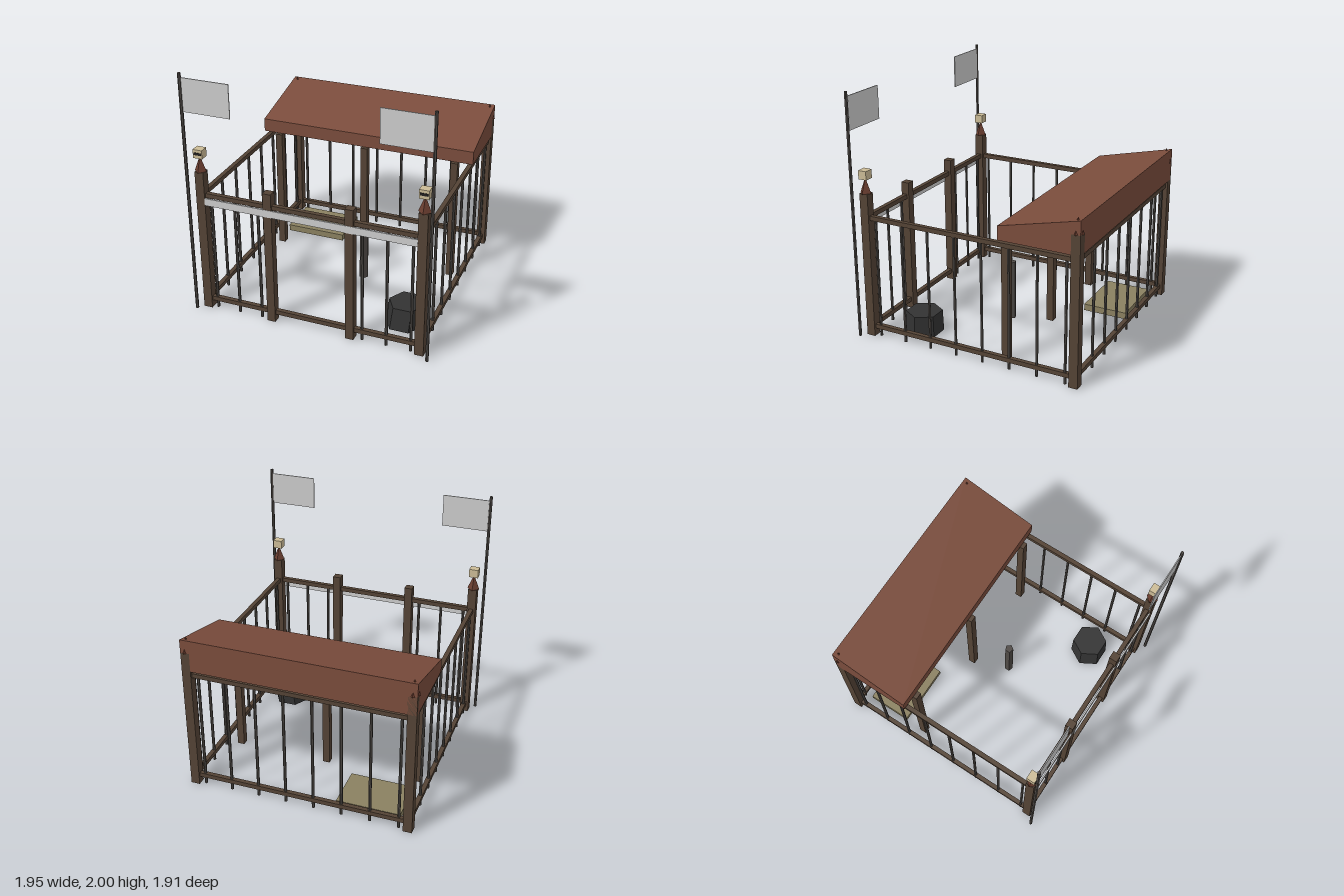
import * as THREE from 'three';

const mat = (color, extra = {}) => new THREE.MeshStandardMaterial({ color, flatShading: true, ...extra });
const M = {
  wood: mat(0x544335),
  iron: mat(0x4f4a46),
  roof: mat(0x7a4c3c),
  cap: mat(0x6b3e30),
  bone: mat(0xcbbb96),
  dark: mat(0x222020),
  pot: mat(0x333333),
  bed: mat(0x8a8060),
  cloth: mat(0xcccccc, { side: THREE.DoubleSide }),
};

export function createModel() {
  const root = new THREE.Group();
  const X = 0.884, ZF = 0.867, ZB = -0.906; // fence lines

  const add = (name, geo, m, x, y, z) => {
    const mesh = new THREE.Mesh(geo, m);
    mesh.name = name;
    mesh.position.set(x, y, z);
    root.add(mesh);
    return mesh;
  };
  const box = (name, m, w, h, d, x, y, z) => add(name, new THREE.BoxGeometry(w, h, d), m, x, y, z);
  // upright pieces standing on the ground
  const post = (name, w, h, x, z) => box(name, M.wood, w, h, w, x, h / 2, z);
  const rod = (name, r, h, sides, x, z) =>
    add(name, new THREE.CylinderGeometry(r, r, h, sides), M.iron, x, h / 2, z);

  for (const s of [-1, 1]) {
    // corner posts with pointed caps
    for (const z of [ZF, ZB]) {
      post('cornerPost', 0.072, 1.2, s * X, z);
      add('postCap', new THREE.ConeGeometry(0.05, 0.125, 4), M.cap, s * X, 1.262, z);
    }
    // carved heads on the front posts
    box('headBlock', M.bone, 0.076, 0.07, 0.07, s * X, 1.35, ZF);
    box('eyeSlot', M.dark, 0.06, 0.02, 0.01, s * X, 1.352, ZF + 0.034);

    // gate posts
    post('gatePost', 0.067, 1.12, s * 0.327, ZF);

    // flags
    rod('flagPole', 0.013, 2, 6, s * 0.962, 0.942);
    box('flag', M.cloth, 0.38, 0.266, 0.008, s * 0.76, 1.832, 0.939);

    // side bars
    for (let i = 0; i < 8; i++) rod('sideBar', 0.012, 1, 6, s * X, 0.79 - i * 0.231);
    // front bars on either side of the gate
    for (let i = 0; i < 3; i++) rod('frontBar', 0.012, 1, 6, s * (0.42 + i * 0.195), ZF);
  }
  for (let i = 0; i < 8; i++) rod('backBar', 0.012, 1, 6, (i - 3.5) * 0.23, ZB);

  // top and bottom rails all round
  for (const y of [0.08, 1.003]) {
    for (const z of [ZF, ZB]) box('crossRail', M.wood, 2 * X, 0.036, 0.036, 0, y, z);
    for (const x of [-X, X]) box('sideRail', M.wood, 0.036, 0.036, ZF - ZB, x, y, (ZF + ZB) / 2);
  }

  // pale strip below the front top rail
  box('frontBanner', M.cloth, 1.7, 0.06, 0.012, 0, 0.957, 0.898);

  // inner posts carrying the roof
  for (const x of [-0.773, 0, 0.773]) post('roofPost', 0.058, 1.045, x, -0.287);

  // lean-to roof: wedge profile (z, y) swept along x
  const wedge = new THREE.Shape([[0.29, 1.045], [0.942, 1.045], [0.942, 1.31], [0.29, 1.155]]
    .map(([a, b]) => new THREE.Vector2(a, b)));
  const roofGeo = new THREE.ExtrudeGeometry(wedge, { depth: 1.84, bevelEnabled: false });
  roofGeo.translate(0, 0, -0.92).rotateY(Math.PI / 2);
  // shape x now runs along -z
  add('roof', roofGeo, M.roof, 0, 0, 0);

  // stake in the yard
  rod('stake', 0.036, 0.5, 5, 0.112, 0.019).rotation.y = Math.PI / 2;

  // leaning six-sided pot, its foot shifted from its mouth
  const potGeo = new THREE.CylinderGeometry(0.146, 0.154, 0.187, 6);
  potGeo.rotateY(Math.PI / 2);
  const p = potGeo.attributes.position;
  for (let i = 0; i < p.count; i++) {
    const t = p.getY(i) / 0.187;
    p.setX(i, p.getX(i) + t * 0.016);
    p.setZ(i, p.getZ(i) - t * 0.012);
  }
  add('pot', potGeo, M.pot, 0.655, 0.0935, 0.527);

  // sleeping mat
  box('sleepingMat', M.bed, 0.52, 0.055, 0.37, -0.535, 0.0275, -0.648);

  return root;
}
